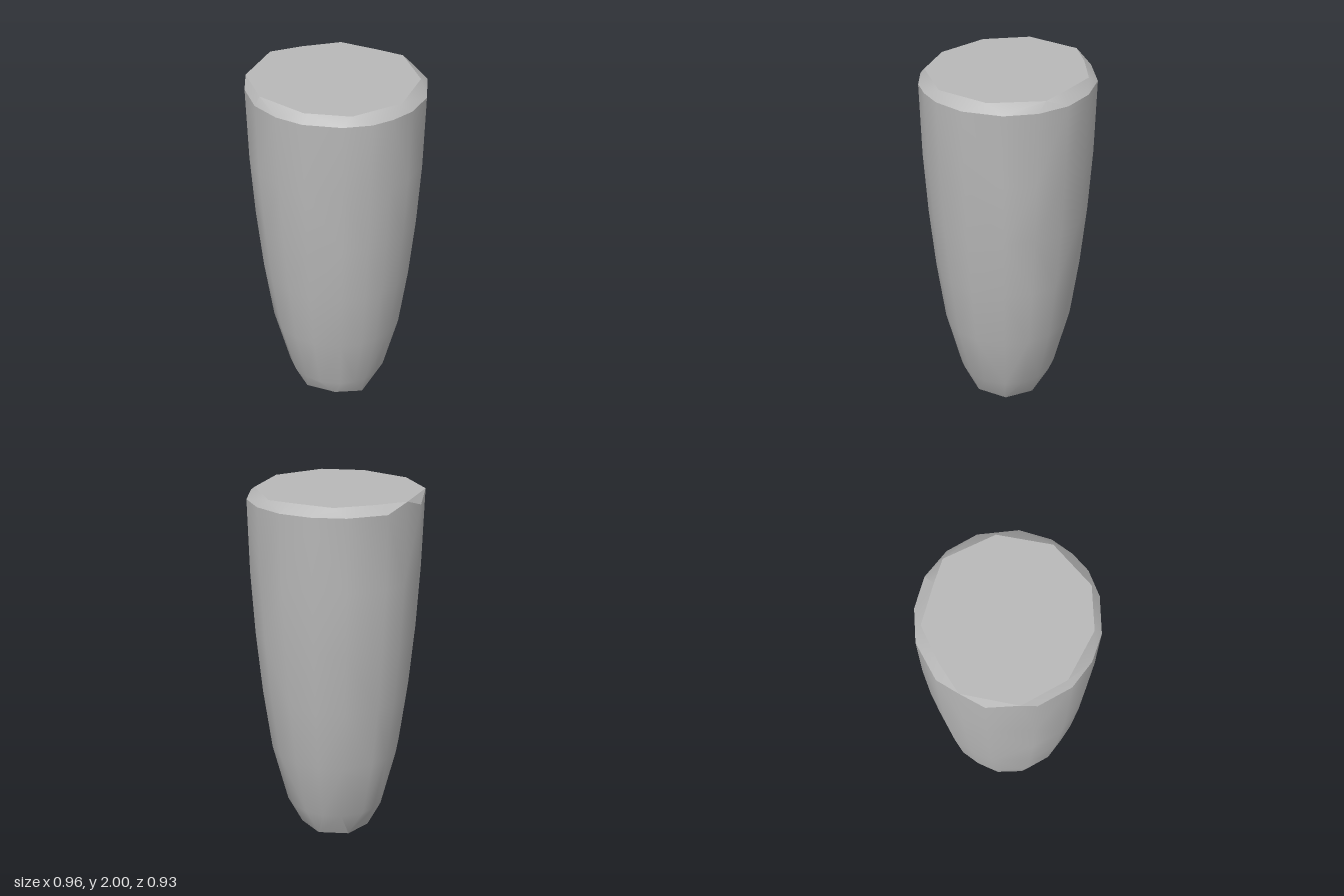
import * as THREE from 'three';
import { ConvexGeometry } from 'three/addons/geometries/ConvexGeometry.js';
import { toCreasedNormals } from 'three/addons/utils/BufferGeometryUtils.js';

// Uneven outline of the widest ring, as [x, z]
const RIM = [
  [0.005, -0.467], [0.18, -0.435], [0.33, -0.34], [0.435, -0.197], [0.478, 0.012], [0.44, 0.18],
  [0.37, 0.29], [0.285, 0.375], [0.15, 0.44], [-0.05, 0.463], [-0.2, 0.425], [-0.34, 0.338],
  [-0.45, 0.18], [-0.48, -0.07], [-0.435, -0.2], [-0.36, -0.32], [-0.175, -0.44],
];

// Flat top, set in from the rim to leave a chipped bevel
const CAP = [
  [-0.47, 0.1], [-0.32, 0.315], [-0.055, 0.425], [0.185, 0.395], [0.39, 0.19], [0.42, -0.1],
  [0.265, -0.35], [0.13, -0.38], [-0.1, -0.42], [-0.29, -0.31], [-0.435, -0.2],
];

// Small flat foot
const FOOT = [
  [-0.15, 0.14], [0.18, 0.1], [0.18, -0.08], [0.05, -0.19], [-0.12, -0.16], [-0.2, -0.02],
];

// Taper of the body: [height, scale of the rim outline]
const TAPER = [[1.955, 1], [1.55, 0.98], [1.2, 0.935], [0.85, 0.865], [0.5, 0.765], [0.16, 0.585]];

const ring = (outline, y, scale = 1) =>
  outline.map(([x, z]) => new THREE.Vector3(x * scale, y, z * scale));

export function createModel() {
  const group = new THREE.Group();
  group.name = 'taperedPeg';

  const grey = new THREE.MeshStandardMaterial({ color: 0xb8b8b8 });
  grey.name = 'plain grey';

  // The solid is convex, so its rings are wrapped in one hull
  const points = [
    ...ring(CAP, 2),
    ...TAPER.flatMap(([y, scale]) => ring(RIM, y, scale)),
    new THREE.Vector3(0.05, 0.07, 0.235), // corner above the chipped front of the foot
    ...ring(FOOT, 0),
  ];
  const body = new THREE.Mesh(toCreasedNormals(new ConvexGeometry(points), 0.5), grey);
  body.name = 'body';
  group.add(body);

  return group;
}
